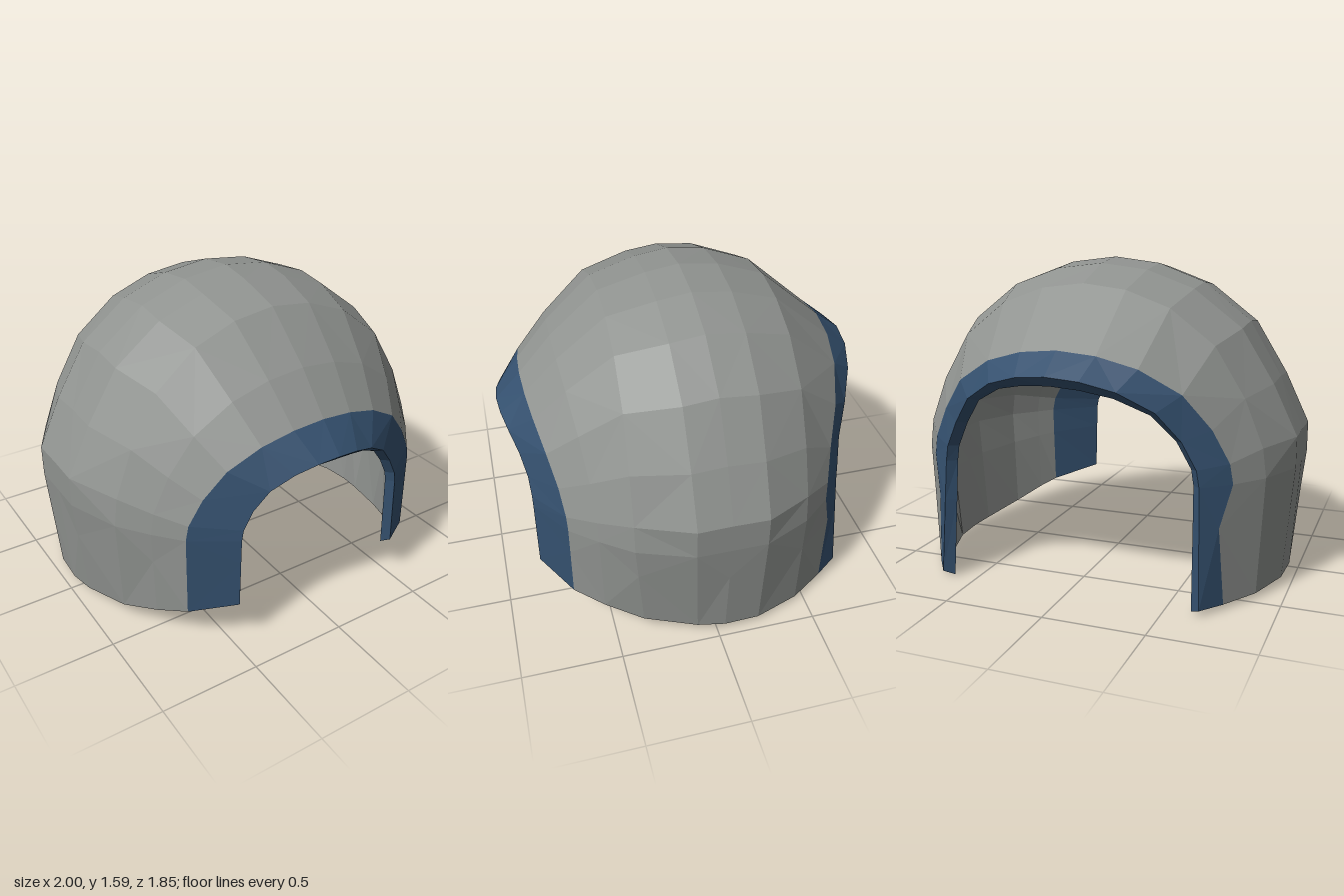
import * as THREE from 'three';

// Half arch from shoulder to crown: [width factor, height factor above shoulder]
const ARCH = [[0.88, 0.42], [0.72, 0.69], [0.48, 0.88], [0.24, 0.97], [0, 1]];
const SHOULDER = 0.6;
const FOOT_DROP = 0.025; // the inner lip hangs below the outer one

// Arches from front rim to back rim. z: foot, shoulder, crown; bend: how late the arch leans out;
// full: width at the upper shoulder; kink: shift of the leg's middle; wall: thickness
const SECTIONS = [
  { w: 0.465, foot: 0.475, crown: 0.95, z: [0.82, 0.82, 0.92], base: 0.235, bend: 3.2, wall: 0.05 },
  { w: 0.68, foot: 0.68, crown: 1.085, z: [0.68, 0.68, 0.79], base: 0.185 },
  { w: 0.79, foot: 0.775, crown: 1.28, z: [0.54, 0.55, 0.62], base: 0.14 },
  { w: 0.9, foot: 0.865, crown: 1.5, z: [0.36, 0.4, 0.37], base: 0.085 },
  { w: 1.0, foot: 0.94, crown: 1.565, z: [0.1, 0.13, 0.13], base: 0.045, full: 1 },
  { w: 1.0, foot: 0.96, crown: 1.59, z: [-0.04, -0.04, -0.04], base: 0.035, full: 1 },
  { w: 1.0, foot: 0.95, crown: 1.565, z: [-0.22, -0.22, -0.24], base: 0.028, full: 1 },
  { w: 0.9, foot: 0.87, crown: 1.48, z: [-0.45, -0.45, -0.48], base: 0.025 },
  { w: 0.78, foot: 0.755, crown: 1.2, z: [-0.63, -0.6, -0.8], base: 0.025, kink: -0.04 },
  { w: 0.65, foot: 0.67, crown: 1.1, z: [-0.75, -0.71, -0.93], base: 0.03, bend: 2.6, wall: 0.06 },
];

// Full arch of points, left foot over the crown to right foot
function archPoints({ w, foot, crown, z, base, bend = 2, full = 0.98, kink = 0 }) {
  const mix = THREE.MathUtils.lerp;
  const half = [
    new THREE.Vector3(foot, base, z[0]),
    new THREE.Vector3(mix(foot, w, 0.65) + kink, mix(base, SHOULDER, 0.65), mix(z[0], z[1], 0.65) + kink),
    ...[[1, 0], [full, 0.16], ...ARCH].map(([fx, fy]) => new THREE.Vector3(
      w * fx, mix(SHOULDER, crown, fy), mix(z[1], z[2], fy ** bend))),
  ];
  const mirrored = half.slice(0, -1).reverse().map((p) => new THREE.Vector3(-p.x, p.y, p.z));
  return [...half, ...mirrored];
}

// Inner skin: outer grid pushed inwards along its vertex normals
function insetGrid(grid) {
  const cols = grid[0].length;
  const index = [];
  for (let i = 0; i < grid.length - 1; i++) {
    for (let j = 0; j < cols - 1; j++) {
      const a = i * cols + j, b = a + cols;
      index.push(a, b, b + 1, a, b + 1, a + 1);
    }
  }
  const geo = new THREE.BufferGeometry().setFromPoints(grid.flat());
  geo.setIndex(index);
  geo.computeVertexNormals();
  const n = new THREE.Vector3();
  const inset = grid.map((row, i) => row.map((p, j) => {
    n.fromBufferAttribute(geo.attributes.normal, i * cols + j);
    const q = p.clone().addScaledVector(n, -(SECTIONS[i].wall ?? 0.07));
    if (j === 0 || j === cols - 1) q.y = p.y - FOOT_DROP;
    return q;
  }));
  // The front trim reaches a little further back on the inside
  inset[1].forEach((p, j) => p.lerp(inset[2][j], 0.3));
  return inset;
}

export function createModel() {
  const group = new THREE.Group();
  const grey = new THREE.MeshStandardMaterial({ color: 0x909390 });
  grey.name = 'shellGrey';
  const blue = new THREE.MeshStandardMaterial({ color: 0x34506e });
  blue.name = 'trimBlue';

  const outer = SECTIONS.map(archPoints);
  const inner = insetGrid(outer);
  const last = outer[0].length - 1;
  const end = outer.length - 1;

  // Closed band of the shell between two arches
  function band(name, from, to, material) {
    const pts = [];
    const quad = (a, b, c, d) => pts.push(a, b, c, a, c, d);
    for (let i = from; i < to; i++) {
      const O = outer[i], P = outer[i + 1], I = inner[i], J = inner[i + 1];
      for (let j = 0; j < last; j++) {
        // Alternate the diagonals for an irregular faceted look, mirrored left to right
        if ((i + j) % 2 === (j < last / 2 ? 0 : 1)) {
          quad(O[j], P[j], P[j + 1], O[j + 1]);
        } else {
          quad(P[j], P[j + 1], O[j + 1], O[j]);
        }
        quad(I[j], I[j + 1], J[j + 1], J[j]);
      }
      // Bottom edges
      quad(O[0], I[0], J[0], P[0]);
      quad(O[last], P[last], J[last], I[last]);
    }
    // Rim faces of the openings
    for (let j = 0; j < last; j++) {
      if (from === 0) quad(outer[0][j], outer[0][j + 1], inner[0][j + 1], inner[0][j]);
      if (to === end) quad(outer[end][j], inner[end][j], inner[end][j + 1], outer[end][j + 1]);
    }
    const geo = new THREE.BufferGeometry().setFromPoints(pts);
    geo.computeVertexNormals(); // unshared corners give flat facets
    const mesh = new THREE.Mesh(geo, material);
    mesh.name = name;
    group.add(mesh);
  }

  band('frontTrim', 0, 1, blue);
  band('domeShell', 1, end - 1, grey);
  band('backTrim', end - 1, end, blue);
  return group;
}
